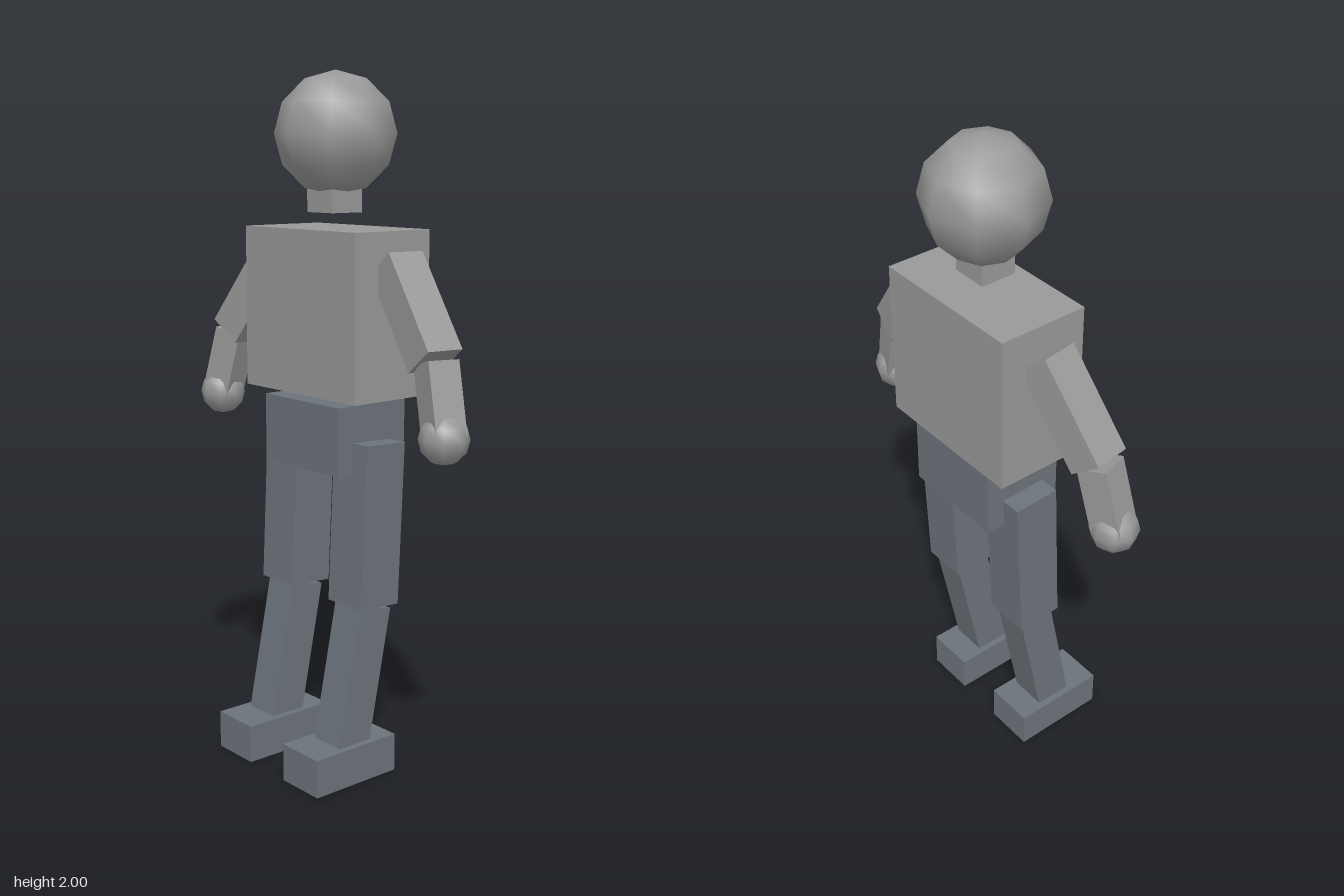
import * as THREE from 'three';

export function createModel() {
  const model = new THREE.Group();
  model.name = 'blockFigure';

  const bodyGrey = new THREE.MeshStandardMaterial({ color: 0x999999 });
  bodyGrey.name = 'bodyGrey';
  const slateGrey = new THREE.MeshStandardMaterial({ color: 0x6c737b });
  slateGrey.name = 'slateGrey';

  function add(name, geometry, material, x, y, z) {
    const mesh = new THREE.Mesh(geometry, material);
    mesh.name = name;
    mesh.position.set(x, y, z);
    model.add(mesh);
    return mesh;
  }
  const box = (name, mat, w, h, d, x, y, z) =>
    add(name, new THREE.BoxGeometry(w, h, d), mat, x, y, z);
  const ball = (name, mat, r, x, y, z) =>
    add(name, new THREE.SphereGeometry(r, 8, 6), mat, x, y, z);

  // Square bar from one joint to the next, with one pair of faces kept upright
  function limb(name, mat, size, from, to) {
    const a = new THREE.Vector3(...from);
    const b = new THREE.Vector3(...to);
    const along = a.clone().sub(b);
    const length = along.length();
    along.normalize();
    const level = new THREE.Vector3(0, 1, 0).cross(along).normalize();
    const side = along.clone().cross(level);
    const mid = a.add(b).multiplyScalar(0.5);
    const mesh = box(name, mat, size, length, size, mid.x, mid.y, mid.z);
    mesh.quaternion.setFromRotationMatrix(new THREE.Matrix4().makeBasis(side, along, level));
  }

  // Head and trunk
  ball('head', bodyGrey, 0.173, 0, 1.827, -0.04);
  box('neck', bodyGrey, 0.11, 0.09, 0.108, 0, 1.655, -0.037);
  box('torso', bodyGrey, 0.482, 0.463, 0.271, 0, 1.336, -0.041);
  box('pelvis', slateGrey, 0.325, 0.196, 0.249, 0, 0.987, -0.038);

  for (const s of [1, -1]) {
    const p = s > 0 ? 'left' : 'right';

    // Arm
    limb(p + 'UpperArm', bodyGrey, 0.11, [s * 0.253, 1.482, -0.042], [s * 0.437, 1.238, -0.014]);
    limb(p + 'Forearm', bodyGrey, 0.09, [s * 0.441, 1.236, -0.013], [s * 0.492, 1.04, 0.003]);
    ball(p + 'Hand', bodyGrey, 0.069, s * 0.492, 1.04, 0.004);

    // Leg
    limb(p + 'Thigh', slateGrey, 0.141, [s * 0.154, 0.978, -0.037], [s * 0.154, 0.508, -0.016]);
    limb(p + 'Shin', slateGrey, 0.112, [s * 0.154, 0.502, -0.016], [s * 0.154, 0.06, 0.072]);
    box(p + 'Foot', slateGrey, 0.153, 0.111, 0.293, s * 0.154, 0.0555, 0.072);
  }

  return model;
}
